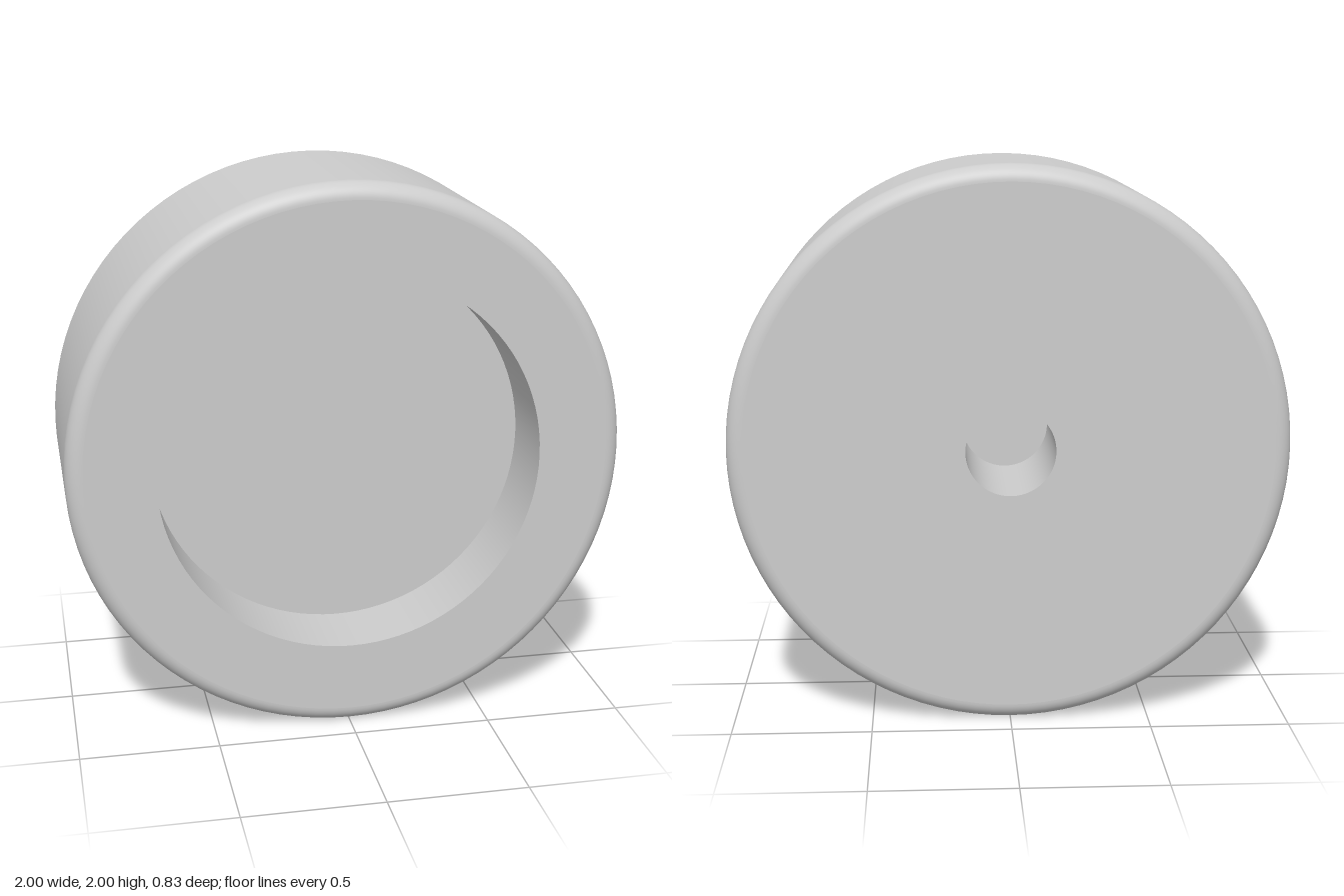
import * as THREE from 'three';

export function createModel() {
  const R = 1, H = 0.415, F = 0.06;      // outer radius, half depth, edge rounding
  const recessR = 0.69, recessZ = 0.125; // front recess radius and floor position
  const boreR = 0.16, boreZ = 0.05;      // rear blind hole radius and end position
  const SEGMENTS = 96;

  const grey = new THREE.MeshStandardMaterial({ color: 0xcccccc });
  grey.name = 'light grey';

  const model = new THREE.Group();
  model.name = 'wheel';
  const body = new THREE.Group();
  body.name = 'turnedBody';
  body.rotation.x = Math.PI / 2; // lathe axis points to the front
  body.position.y = R;
  model.add(body);

  // One smooth turned surface; separate surfaces keep the edges between them sharp
  const turn = (name, points) => {
    const profile = points.map(([r, z]) => new THREE.Vector2(r, z));
    const mesh = new THREE.Mesh(new THREE.LatheGeometry(profile, SEGMENTS), grey);
    mesh.name = name;
    body.add(mesh);
  };

  // Quarter-round edge between two angles
  const rounding = (z, start) => Array.from({ length: 13 }, (_, i) => {
    const a = start + (i / 12) * Math.PI / 2;
    return [R - F + F * Math.cos(a), z + F * Math.sin(a)];
  });

  // Rear blind hole and rear face
  turn('rearHoleEnd', [[0, boreZ], [boreR, boreZ]]);
  turn('rearHoleWall', [[boreR, boreZ], [boreR, -H]]);
  turn('rearFace', [[boreR, -H], [R - F, -H]]);

  // Rounded rim
  turn('rearRoundedEdge', rounding(-H + F, -Math.PI / 2));
  turn('tread', [[R, -H + F], [R, H - F]]);
  turn('frontRoundedEdge', rounding(H - F, 0));

  // Front face and recess
  turn('frontFace', [[R - F, H], [recessR, H]]);
  turn('recessWall', [[recessR, H], [recessR, recessZ]]);
  turn('recessFloor', [[recessR, recessZ], [0, recessZ]]);

  return model;
}
